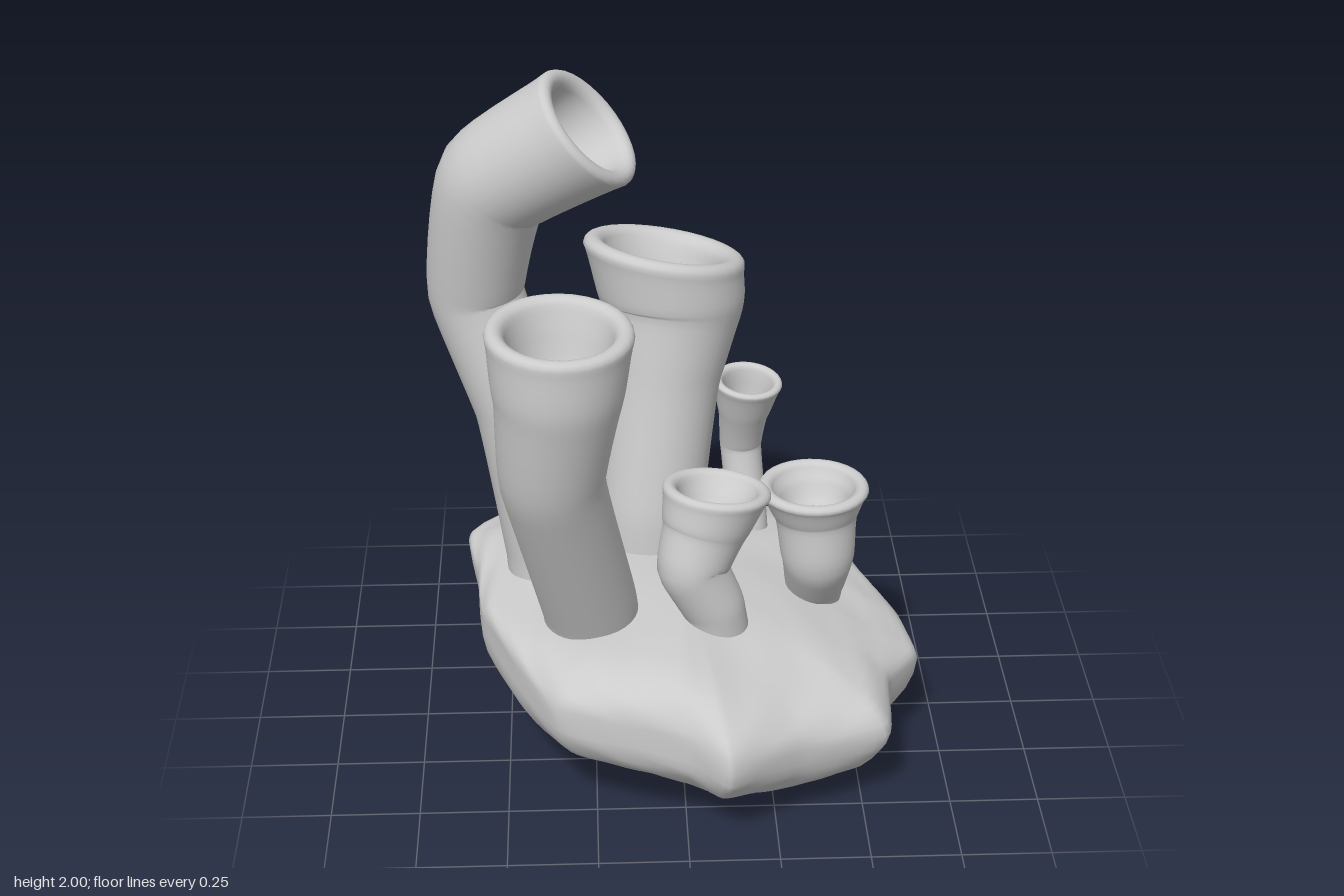
import * as THREE from 'three';
import { mergeVertices } from 'three/addons/utils/BufferGeometryUtils.js';

const V = (x, y, z) => new THREE.Vector3(x, y, z);
const { lerp, smoothstep } = THREE.MathUtils;

// Skin a stack of closed rings (each an array of n points) with smooth normals
function skin(rings, name) {
  const n = rings[0].length, pos = [], idx = [];
  rings.forEach(r => r.forEach(p => pos.push(p.x, p.y, p.z)));
  for (let i = 0; i < rings.length - 1; i++) {
    for (let j = 0; j < n; j++) {
      const a = i * n + j, b = i * n + (j + 1) % n, c = b + n, d = a + n;
      idx.push(a, b, d, b, c, d);
    }
  }
  let geo = new THREE.BufferGeometry();
  geo.setAttribute('position', new THREE.Float32BufferAttribute(pos, 3));
  geo.setIndex(idx);
  geo = mergeVertices(geo, 1e-5);
  geo.computeVertexNormals();
  const mesh = new THREE.Mesh(geo, new THREE.MeshStandardMaterial({ color: 0xcccccc }));
  mesh.name = name;
  return mesh;
}

// Ring of radius r about centre c, square to direction t
function ring(c, t, r, n = 32) {
  const u = t.clone().cross(V(0, 0, 1)).normalize();
  const v = t.clone().cross(u).normalize();
  return Array.from({ length: n }, (_, j) => {
    const a = (j / n) * Math.PI * 2;
    return c.clone().addScaledVector(u, r * Math.cos(a)).addScaledVector(v, r * Math.sin(a));
  });
}

// Fat rounded lip, as [radius, height] in mouth radii
const LIP = [[0.99, 0.05], [0.96, 0.09], [0.91, 0.115], [0.85, 0.115], [0.79, 0.085], [0.745, 0.03], [0.72, -0.05]];

// Tube sponge: stations are [x, y, z, radius] from root to mouth
function tube(name, stations, mouthDir) {
  const curve = new THREE.CatmullRomCurve3(stations.map(s => V(s[0], s[1], s[2])), false, 'catmullrom', 0.2);
  const radii = new THREE.CatmullRomCurve3(stations.map(s => V(s[3], 0, 0)), false, 'catmullrom', 0.5);
  const n = stations.length - 1, steps = n * 7, axis = V(...mouthDir).normalize();
  const section = (t, scale) => {
    const dir = curve.getTangent(t).lerp(axis, smoothstep(t, 1 - 1.7 / n, 1)).normalize();
    return ring(curve.getPoint(t), dir, radii.getPoint(t).x * scale);
  };
  const rings = [];
  for (let i = 0; i <= steps; i++) rings.push(section(i / steps, 1));
  const end = curve.getPoint(1), R = stations[n][3];
  LIP.forEach(([r, h]) => rings.push(ring(end.clone().addScaledVector(axis, h * R), axis, r * R)));
  // Hollow follows the tube down to a rounded floor
  for (let i = 2; i <= 14; i++) {
    const a = (i / 14) * Math.PI / 2;
    rings.push(section(1 - Math.sin(a) * 1.4 / n, i === 14 ? 0 : 0.72 * Math.pow(Math.cos(a), 0.5)));
  }
  return skin(rings, name);
}

// Lumpy, tilted rock: an irregular outline swept over a rounded section
function rock() {
  const outline = [[-0.62, -0.32], [-0.42, -0.62], [-0.2, -0.74], [0, -0.755], [0.17, -0.71], [0.3, -0.57],
    [0.48, -0.41], [0.58, -0.2], [0.66, -0.04], [0.69, 0.14], [0.59, 0.3], [0.57, 0.52], [0.45, 0.57],
    [0.32, 0.62], [0.2, 0.7], [0.11, 0.755], [0, 0.67], [-0.2, 0.62], [-0.36, 0.55], [-0.47, 0.36],
    [-0.57, 0.12], [-0.59, -0.1]];
  const curve = new THREE.CatmullRomCurve3(outline.map(([x, z]) => V(x, 0, z)), true, 'catmullrom', 0.25);
  const n = 110, m = 32, rings = [];
  for (let i = 0; i <= m; i++) {
    const phi = (i / m) * Math.PI, c = Math.cos(phi);
    const s = i === 0 || i === m ? 0 : Math.pow(Math.sin(phi), 0.72);
    rings.push(Array.from({ length: n }, (_, j) => {
      const p = curve.getPoint(j / n);
      // Away from the rim the outline relaxes towards an oval
      const a = Math.atan2(p.z, p.x), w = Math.min(1, Math.abs(c) * 1.3) * 0.65;
      const x = lerp(p.x, 0.62 * Math.cos(a), w) * s;
      const z = lerp(p.z, 0.7 * Math.sin(a), w) * s;
      const mid = 0.345 - 0.11 * x - 0.06 * z;
      const top = 0.515 - 0.18 * Math.max(0, x) - 0.03 * Math.max(0, -z) + 0.02 * Math.max(0, z);
      const bottom = 0.05 - 0.13 * x - 0.06 * Math.max(0, x);
      const h = Math.pow(Math.abs(c), 0.82);
      const bump = s * (0.01 * (Math.sin(9 * x + 5 * z) + Math.sin(11 * z - 6 * x + 1))
        + 0.005 * Math.sin(23 * x + 2) * Math.sin(21 * z + 14 * c));
      return V(x, Math.max(0.003, mid + h * (c > 0 ? top - mid : bottom - mid) + bump), z);
    }));
  }
  return skin(rings, 'rockBase');
}

export function createModel() {
  const model = new THREE.Group();
  model.name = 'tubeSpongeCluster';
  model.add(rock());

  model.add(tube('tallBentTube', [[-0.37, 0.4, -0.05, 0.125], [-0.38, 0.55, -0.06, 0.125],
    [-0.45, 1.0, -0.08, 0.13], [-0.565, 1.33, -0.135, 0.135], [-0.505, 1.68, -0.07, 0.16],
    [-0.25, 1.86, 0, 0.185]], [0.73, 0.66, 0.2]));

  model.add(tube('frontTallTube', [[-0.25, 0.4, 0.2, 0.135], [-0.265, 0.55, 0.255, 0.135],
    [-0.355, 1.05, 0.465, 0.142], [-0.335, 1.32, 0.505, 0.172],
    [-0.328, 1.485, 0.49, 0.196]], [0.03, 1, 0.08]));

  model.add(tube('backWideTube', [[-0.08, 0.4, -0.19, 0.155], [-0.075, 0.6, -0.2, 0.155],
    [-0.035, 1.0, -0.28, 0.17], [-0.008, 1.19, -0.332, 0.207],
    [-0.03, 1.335, -0.355, 0.237]], [0.17, 1, -0.17]));

  model.add(tube('frontShortTube', [[0.11, 0.4, 0.27, 0.085], [0.085, 0.54, 0.285, 0.088],
    [0.027, 0.67, 0.29, 0.1], [0.06, 0.775, 0.26, 0.12],
    [0.095, 0.872, 0.23, 0.152]], [0.1, 1, -0.13]));

  model.add(tube('sideShortTube', [[0.39, 0.33, -0.03, 0.078], [0.395, 0.45, 0.012, 0.086],
    [0.395, 0.58, 0.083, 0.104], [0.388, 0.71, 0.072, 0.12],
    [0.38, 0.785, 0.065, 0.158]], [0, 1, 0]));

  model.add(tube('backThinTube', [[0.225, 0.34, -0.3, 0.06], [0.22, 0.46, -0.325, 0.06],
    [0.2, 0.7, -0.38, 0.062], [0.205, 0.83, -0.345, 0.076],
    [0.215, 0.933, -0.322, 0.102]], [0.08, 1, 0.1]));
  return model;
}
